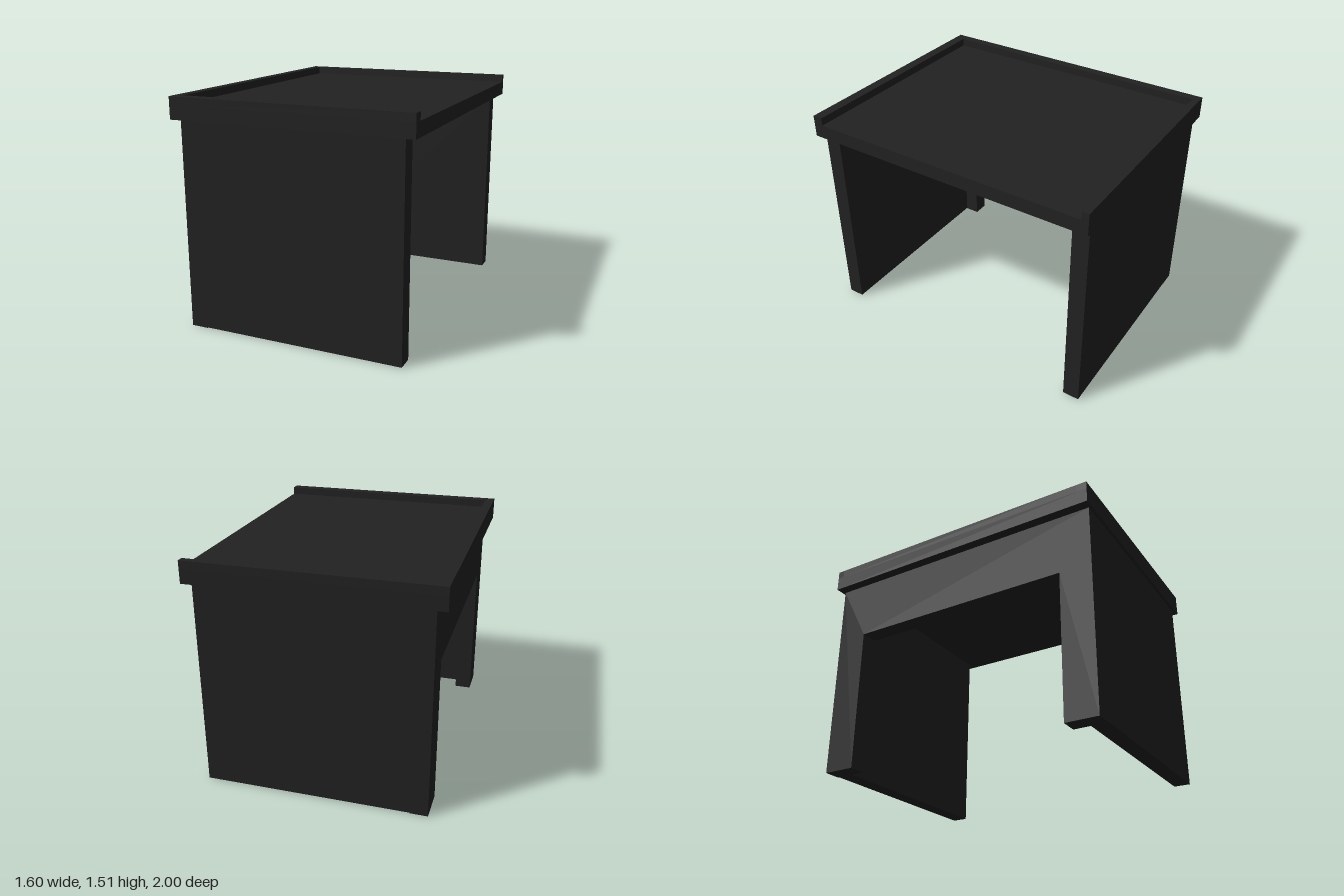
import * as THREE from 'three';

export function createModel() {
  const group = new THREE.Group();
  const charcoal = new THREE.MeshStandardMaterial({ color: 0x222222 });
  charcoal.name = 'charcoal';

  // box given by its min and max on each axis
  function block(name, [x0, x1], [y0, y1], [z0, z1]) {
    const mesh = new THREE.Mesh(new THREE.BoxGeometry(x1 - x0, y1 - y0, z1 - z0), charcoal);
    mesh.position.set((x0 + x1) / 2, (y0 + y1) / 2, (z0 + z1) / 2);
    mesh.name = name;
    group.add(mesh);
  }

  // table top with a raised lip on three sides, open on +x
  block('tableTop', [-0.8, 0.8], [1.37, 1.463], [-1, 1]);
  block('sideLip', [-0.8, -0.74], [1.463, 1.515], [-0.953, 0.932]);
  block('frontLip', [-0.8, 0.8], [1.463, 1.515], [0.932, 1]);
  block('backLip', [-0.8, 0.8], [1.463, 1.515], [-1, -0.953]);

  // full-width end panels
  block('frontPanel', [-0.62, 0.735], [0.004, 1.37], [0.87, 0.98]);
  block('backPanel', [-0.62, 0.735], [0.004, 1.37], [-0.98, -0.87]);

  // closed side: an arch of two legs and an apron, cut from one board
  const arch = new THREE.Shape([
    [-0.98, 0], [-0.765, 0], [-0.765, 0.97], [0.765, 0.97],
    [0.765, 0], [0.98, 0], [0.98, 1.37], [-0.98, 1.37],
  ].map(([z, y]) => new THREE.Vector2(z, y)));
  const geometry = new THREE.ExtrudeGeometry(arch, { depth: 0.115, bevelEnabled: false });
  geometry.rotateY(-Math.PI / 2);
  const sideArch = new THREE.Mesh(geometry, charcoal);
  sideArch.position.x = -0.62;
  sideArch.name = 'sideArch';
  group.add(sideArch);

  return group;
}
